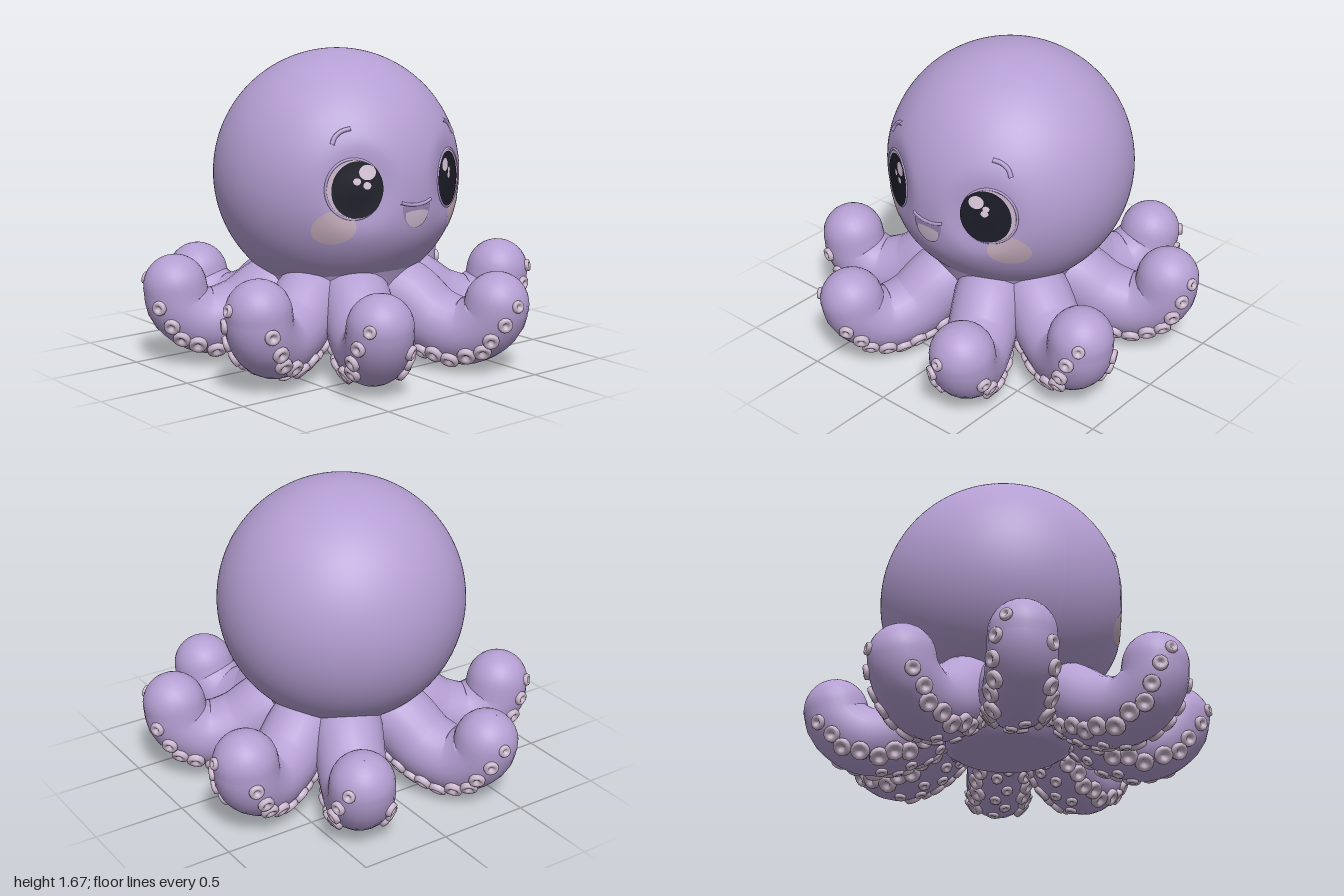
import * as THREE from 'three';
import { mergeGeometries } from 'three/addons/utils/BufferGeometryUtils.js';

const mat = (name, color) => {
  const m = new THREE.MeshStandardMaterial({ color });
  m.name = name;
  return m;
};

const HEAD_R = 0.668, HEAD_Y = 0.998, HEAD_Z = -0.03;

// Muzzle bulge and eye sockets on the front of the head
function relief(x, y) {
  const muzzle = 0.022 * Math.exp(-(x * x / 0.1 + (y - 0.73) ** 2 / 0.025));
  const d = ((Math.abs(x) - 0.3) / 0.16) ** 2 + ((y - 1) / 0.19) ** 2;
  return muzzle - 0.036 * Math.exp(-d * d);
}

// Front surface of the head at (x, y)
function headZ(x, y) {
  const d = HEAD_R ** 2 - x * x - (y - HEAD_Y) ** 2;
  return HEAD_Z + Math.sqrt(Math.max(d, 0)) * 0.985 + relief(x, y);
}

function headGeometry() {
  const g = new THREE.SphereGeometry(HEAD_R, 128, 96);
  const p = g.attributes.position;
  for (let i = 0; i < p.count; i++) {
    const x = p.getX(i), y = p.getY(i) + HEAD_Y, z = p.getZ(i);
    const front = Math.min(1, Math.max(0, z / 0.2));
    p.setXYZ(i, x, y, HEAD_Z + (z > 0 ? z * 0.985 : z) + front * relief(x, y));
  }
  g.computeVertexNormals();
  return g;
}

// Disc laid onto the face; topScale squashes its upper half
function facePatch(cx, cy, rx, ry, lift, tilt = 0, topScale = 1) {
  const g = new THREE.RingGeometry(0, 1, 36, 8);
  const p = g.attributes.position;
  for (let i = 0; i < p.count; i++) {
    const u = p.getX(i) * rx;
    const v = p.getY(i) * ry * (p.getY(i) > 0 ? topScale : 1);
    const x = cx + u * Math.cos(tilt) - v * Math.sin(tilt);
    const y = cy + u * Math.sin(tilt) + v * Math.cos(tilt);
    p.setXYZ(i, x, y, headZ(x, y) + lift);
  }
  g.computeVertexNormals();
  return g;
}

// Tube following (x, y) points on the face
function faceTube(points, radius, closed = false) {
  const pts = points.map(([x, y]) => new THREE.Vector3(x, y, headZ(x, y)));
  return new THREE.TubeGeometry(new THREE.CatmullRomCurve3(pts, closed), closed ? 48 : 16, radius, 8, closed);
}

// Tentacle path in the local x-y plane: runs outward, dips to the ground, curls up
function tentacleFrames(low, top) {
  const curve = new THREE.CatmullRomCurve3([
    [0.1, 0.37], [0.36, 0.37], [0.56, low + 0.035], [0.74, low], [0.88, low + 0.09], [0.905, top - 0.168],
  ].map(([x, y]) => new THREE.Vector3(x, y, 0)));
  return (t) => {
    const P = curve.getPointAt(t), T = curve.getTangentAt(t);
    return { P, T, N: new THREE.Vector3(-T.y, T.x, 0), R: 0.2 - 0.03 * t };
  };
}

function tentacleGeometry(frame, along = 32, cap = 9, sides = 24) {
  const pos = [], idx = [];
  const ring = (P, N, R) => {
    for (let j = 0; j < sides; j++) {
      const a = (j / sides) * Math.PI * 2;
      pos.push(P.x + N.x * Math.cos(a) * R, P.y + N.y * Math.cos(a) * R, Math.sin(a) * R);
    }
  };
  for (let i = 0; i <= along; i++) {
    const f = frame(i / along);
    ring(f.P, f.N, f.R);
  }
  // Rounded tip
  const e = frame(1);
  for (let i = 1; i <= cap; i++) {
    const a = (i / cap) * Math.PI / 2;
    ring(e.P.clone().addScaledVector(e.T, e.R * Math.sin(a)), e.N, Math.max(e.R * Math.cos(a), 0.0005));
  }
  for (let i = 0; i < along + cap; i++) {
    for (let j = 0; j < sides; j++) {
      const a = i * sides + j, b = i * sides + (j + 1) % sides;
      idx.push(a, b, a + sides, b, b + sides, a + sides);
    }
  }
  const g = new THREE.BufferGeometry();
  g.setAttribute('position', new THREE.Float32BufferAttribute(pos, 3));
  g.setIndex(idx);
  g.computeVertexNormals();
  return g;
}

// Cupped suckers along the underside: two main rows and a short row of small ones between
function suckerGeometry(frame) {
  const cup = new THREE.LatheGeometry(
    [[0.85, -0.5], [1, 0.1], [0.92, 0.42], [0.65, 0.52], [0.4, 0.38], [0.22, 0.1], [0, 0.07]]
      .map(([x, y]) => new THREE.Vector2(x, y)), 12);
  const up = new THREE.Vector3(0, 1, 0), parts = [];
  const place = (t, angle, size) => {
    const f = frame(t);
    const n = f.N.clone().multiplyScalar(-Math.cos(angle));
    n.z = Math.sin(angle);
    parts.push(cup.clone().applyMatrix4(new THREE.Matrix4().compose(
      f.P.clone().addScaledVector(n, f.R),
      new THREE.Quaternion().setFromUnitVectors(up, n),
      new THREE.Vector3(size, size, size))));
  };
  for (const side of [-1, 1]) {
    for (let i = 0; i < 11; i++) {
      const t = 0.29 + 0.064 * i + (side > 0 ? 0.02 : 0);
      place(t, side * (0.55 + 0.35 * t + (i % 2 ? 0.12 : 0)), 0.036 + 0.016 * Math.sin(Math.PI * i / 11));
    }
  }
  for (let i = 0; i < 7; i++) place(0.31 + 0.06 * i, i % 2 ? 0.16 : -0.16, 0.032);
  // Last sucker on the rounded tip
  const e = frame(1), n = e.N.clone().multiplyScalar(-0.75).addScaledVector(e.T, 0.35);
  n.z = 0.5;
  n.normalize();
  parts.push(cup.clone().applyMatrix4(new THREE.Matrix4().compose(
    e.P.clone().addScaledVector(n, e.R),
    new THREE.Quaternion().setFromUnitVectors(up, n),
    new THREE.Vector3(0.034, 0.034, 0.034))));
  return mergeGeometries(parts);
}

export function createModel() {
  const skin = mat('lavender skin', 0xb59fd3);
  const sucker = mat('pale mauve suckers', 0xcdb9cf);
  const black = mat('eye black', 0x1d1d29);
  const shine = mat('eye shine', 0xe3cfe4);
  const blush = mat('cheek blush', 0xc9b0c0);
  const mouthDark = mat('mouth inside', 0x9c86b6);

  const model = new THREE.Group();
  const add = (name, geometry, material, parent = model) => {
    const mesh = new THREE.Mesh(geometry, material);
    mesh.name = name;
    parent.add(mesh);
  };

  add('head', headGeometry(), skin);

  // Body under the head, with a flat base
  const profile = [[0, 0.14], [0.28, 0.14], [0.33, 0.17], [0.36, 0.26], [0.39, 0.4], [0.44, 0.52], [0.47, 0.6]];
  add('body', new THREE.LatheGeometry(profile.map(([x, y]) => new THREE.Vector2(x, y)), 48), skin);

  // Eight tentacles: lower ones front and back, taller ones at the sides
  const kinds = [
    { frame: tentacleFrames(0.22, 0.585), angles: [25, 155, 205, 335] },
    { frame: tentacleFrames(0.198, 0.53), angles: [64, 116, 244, 296] },
  ];
  for (const { frame, angles } of kinds) {
    const arm = tentacleGeometry(frame), cups = suckerGeometry(frame);
    for (const deg of angles) {
      const g = new THREE.Group();
      g.name = 'tentacle';
      g.rotation.y = THREE.MathUtils.degToRad(deg);
      add('tentacleArm', arm, skin, g);
      add('tentacleSuckers', cups, sucker, g);
      model.add(g);
    }
  }

  // Face details, mirrored
  for (const s of [-1, 1]) {
    const side = s > 0 ? 'left' : 'right';
    add(side + 'Cheek', facePatch(s * 0.4, 0.805, 0.09, 0.09, 0.004), blush);
    add(side + 'EyeWhite', facePatch(s * 0.318, 1.0, 0.126, 0.149, 0.005, s * 0.08), sucker);
    add(side + 'Pupil', facePatch(s * 0.306, 0.997, 0.119, 0.146, 0.009, s * 0.08), black);
    const lid = [];
    for (let i = 0; i < 16; i++) {
      const a = (i / 16) * Math.PI * 2;
      lid.push([s * 0.318 + 0.129 * Math.cos(a), 1.0 + 0.153 * Math.sin(a)]);
    }
    add(side + 'Eyelid', faceTube(lid, 0.007, true), skin);
    add(side + 'Brow', faceTube(
      [[s * 0.405, 1.225], [s * 0.385, 1.262], [s * 0.35, 1.29], [s * 0.31, 1.302]], 0.012), skin);
  }
  const glints = [
    [-0.262, 1.085, 0.039], [-0.312, 1.04, 0.018], [-0.265, 1.018, 0.019],
    [0.265, 1.077, 0.036], [0.312, 1.045, 0.016], [0.306, 1.018, 0.018],
  ];
  for (const [x, y, r] of glints) add('eyeShine', facePatch(x, y, r, r, 0.013), shine);

  // Open smiling mouth with tongue and lip line
  add('mouth', facePatch(0, 0.9, 0.092, 0.118, 0.004, 0, 0.04), mouthDark);
  add('tongue', facePatch(0, 0.862, 0.075, 0.077, 0.008, 0, 0.2), sucker);
  add('upperLip', faceTube([[-0.1, 0.922], [-0.06, 0.91], [0, 0.904], [0.06, 0.91], [0.1, 0.922]], 0.009), skin);

  return model;
}
